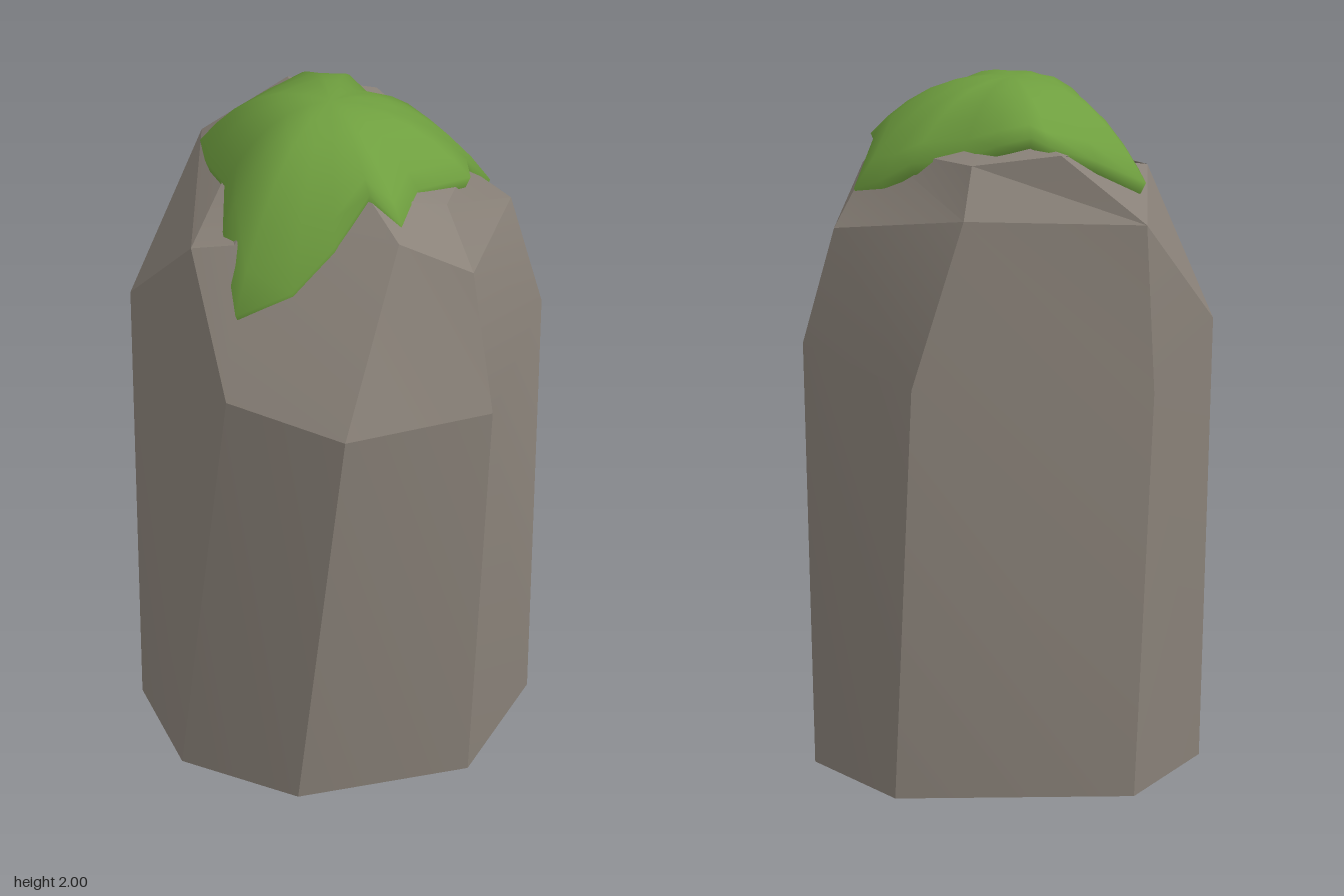
import * as THREE from 'three';
import { toCreasedNormals } from 'three/addons/utils/BufferGeometryUtils.js';

// Joins closed rings of points from the outside in, finishing at an apex
function loft(rings, apex, base) {
  const n = rings[0].length;
  const pos = rings.flat(2);
  const idx = [];
  for (let r = 0; r < rings.length - 1; r++) {
    for (let i = 0; i < n; i++) {
      const j = (i + 1) % n;
      const a = r * n + i, b = r * n + j, c = a + n, d = b + n;
      idx.push(a, b, c, b, d, c);
    }
  }
  const top = pos.length / 3;
  const last = (rings.length - 1) * n;
  pos.push(...apex);
  if (base) pos.push(...base);
  for (let i = 0; i < n; i++) {
    const j = (i + 1) % n;
    idx.push(last + i, last + j, top);
    if (base) idx.push(j, i, top + 1);
  }
  const g = new THREE.BufferGeometry();
  g.setAttribute('position', new THREE.Float32BufferAttribute(pos, 3));
  g.setIndex(idx);
  g.computeVertexNormals();
  return g;
}

export function createModel() {
  const stone = new THREE.MeshStandardMaterial({ color: 0x8a8279 });
  stone.name = 'stone';
  const mossGreen = new THREE.MeshStandardMaterial({ color: 0x6f9f3f, side: THREE.DoubleSide });
  mossGreen.name = 'mossGreen';

  // Seven-sided boulder: foot, shoulder, upper and crown rings
  const rockRings = [
    [[0.53, 0, -0.05], [0.34, 0, -0.47], [-0.33, 0, -0.5], [-0.55, 0, -0.06],
      [-0.45, 0, 0.28], [-0.13, 0, 0.46], [0.35, 0, 0.34]],
    [[0.575, 1.25, -0.17], [0.3, 1.2, -0.53], [-0.39, 1.16, -0.47], [-0.58, 1.3, -0.18],
      [-0.33, 1.32, 0.38], [0, 1.28, 0.53], [0.42, 1.25, 0.36]],
    [[0.49, 1.59, -0.2], [0.15, 1.68, -0.5], [-0.37, 1.65, -0.47], [-0.42, 1.67, 0.12],
      [-0.3, 1.7, 0.15], [0.16, 1.78, 0.27], [0.37, 1.66, 0.25]],
    [[0.36, 1.79, -0.08], [0.12, 1.82, -0.42], [-0.13, 1.85, -0.44], [-0.31, 1.76, -0.12],
      [-0.2, 1.82, 0.07], [0.08, 1.86, 0.16], [0.3, 1.79, 0.1]],
  ];
  const rockGeo = toCreasedNormals(loft(rockRings, [0, 1.9, -0.1], [0, 0, 0]), 0.3);
  const rock = new THREE.Mesh(rockGeo, stone);
  rock.name = 'rock';

  // Ragged moss rim, counter-clockwise from the left side
  const rim = [
    [0.37, 1.8, 0], [0.36, 1.82, -0.06], [0.43, 1.68, -0.15], [0.36, 1.72, -0.22],
    [0.28, 1.78, -0.27], [0.14, 1.8, -0.31], [0.05, 1.86, -0.4], [-0.05, 1.88, -0.39],
    [-0.1, 1.86, -0.42], [-0.24, 1.8, -0.37], [-0.38, 1.72, -0.31], [-0.37, 1.73, -0.2],
    [-0.32, 1.76, -0.05], [-0.33, 1.7, 0.1], [-0.3, 1.53, 0.27], [-0.14, 1.61, 0.275],
    [-0.02, 1.74, 0.24], [0.08, 1.87, 0.17], [0.17, 1.79, 0.21], [0.22, 1.82, 0.08],
  ];
  const crown = [-0.02, 2, -0.12];
  const domeRing = (t) => rim.map(([x, y, z]) => [
    crown[0] + (x - crown[0]) * t,
    2 - (1.99 - y) * t ** 2.5,
    crown[2] + (z - crown[2]) * t,
  ]);
  // A short skirt tucks the rim into the rock
  const skirt = rim.map(([x, y, z]) => [x * 0.96, y - 0.025, z * 0.96]);
  const mossRings = [skirt, ...[1, 0.88, 0.74, 0.58, 0.4, 0.2].map(domeRing)];
  const moss = new THREE.Mesh(loft(mossRings, crown), mossGreen);
  moss.name = 'mossCap';

  const group = new THREE.Group();
  group.name = 'mossyRock';
  group.add(rock, moss);
  return group;
}
